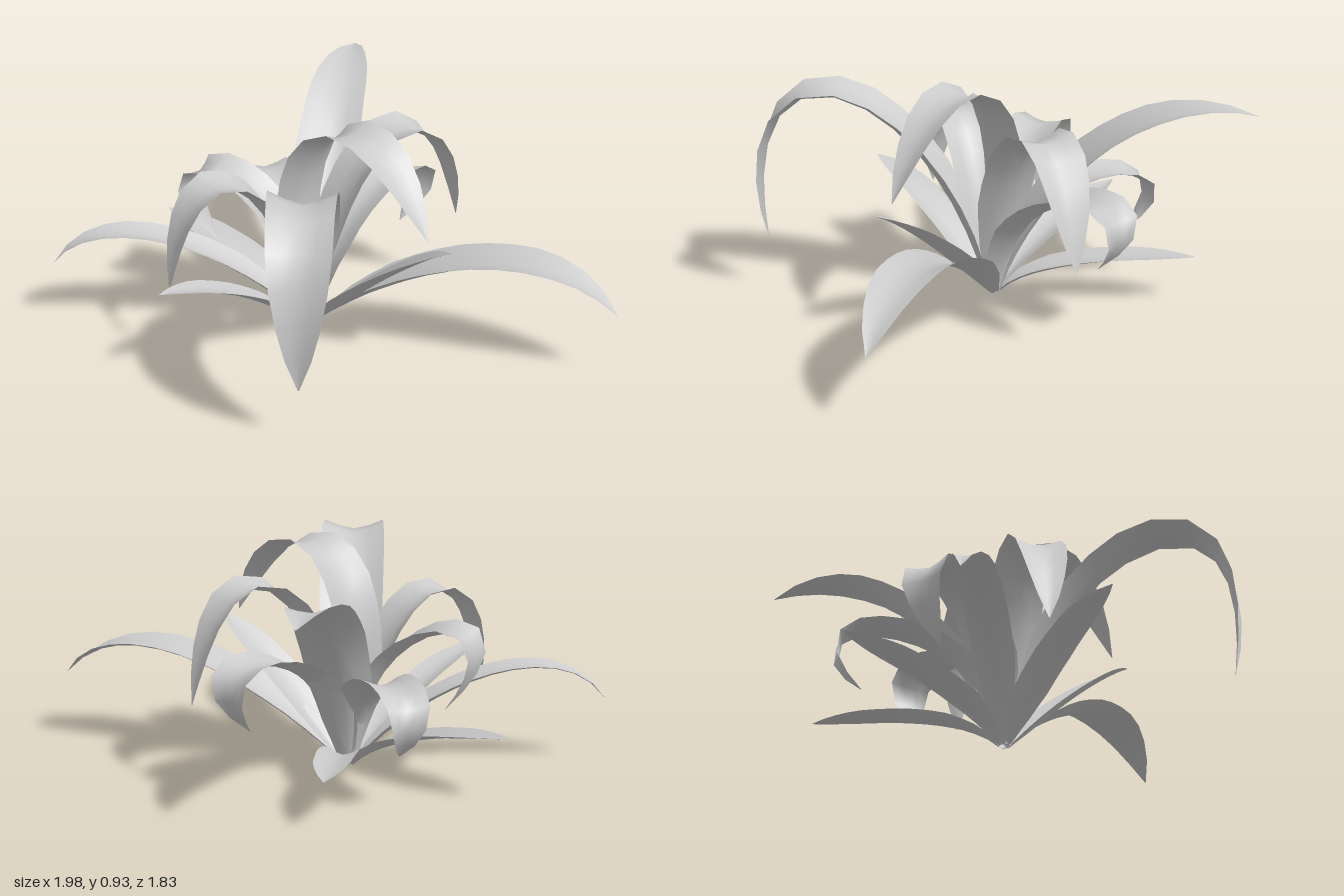
import * as THREE from 'three';

// Blade outline: relative width along the length
const OUTLINE = [[0, 0.22], [0.14, 0.66], [0.29, 0.96], [0.5, 1], [0.75, 0.88], [0.9, 0.5], [1, 0.02]];

function widthAt(t) {
  const i = Math.max(1, OUTLINE.findIndex(([end]) => t <= end));
  const [t0, w0] = OUTLINE[i - 1], [t1, w1] = OUTLINE[i];
  return w0 + (w1 - w0) * (t - t0) / (t1 - t0);
}

// A leaf is a gutter-shaped section swept along an arching midrib.
// The midrib is a Bezier arc in the vertical plane at the given angle from the front;
// twist turns the blade's width away from square to that plane.
function leafGeometry(angle, width, r1, y1, r2, y2, tipR, tipY, twist = 0) {
  const along = 14, across = 4, fold = 0.16;
  const a = THREE.MathUtils.degToRad(angle);
  const b = THREE.MathUtils.degToRad(angle + twist);
  const at = (r, y) => new THREE.Vector3(r * Math.sin(a), y, r * Math.cos(a));
  const curve = new THREE.CubicBezierCurve3(at(0.02, 0.01), at(r1, y1), at(r2, y2), at(tipR, tipY));
  const side = new THREE.Vector3(Math.cos(b), 0, -Math.sin(b));
  const positions = [], index = [];
  for (let i = 0; i <= along; i++) {
    const t = i / along;
    const centre = curve.getPointAt(t);
    const upper = new THREE.Vector3().crossVectors(curve.getTangentAt(t), side).normalize();
    const w = width * widthAt(t);
    const depth = w * fold * (1.6 - t);
    for (let j = 0; j <= across; j++) {
      const s = 2 * j / across - 1;
      const p = centre.clone().addScaledVector(side, s * w / 2)
        .addScaledVector(upper, (Math.abs(s) ** 1.5 - 0.4) * depth);
      positions.push(p.x, Math.max(p.y, 0), p.z);
    }
  }
  for (let i = 0; i < along; i++) {
    for (let j = 0; j < across; j++) {
      const k = i * (across + 1) + j, next = k + across + 1;
      index.push(k, k + 1, next, next, k + 1, next + 1);
    }
  }
  const geometry = new THREE.BufferGeometry();
  geometry.setAttribute('position', new THREE.Float32BufferAttribute(positions, 3));
  geometry.setIndex(index);
  geometry.computeVertexNormals();
  return geometry;
}

// Name, angle, width, then radius and height of both arc handles and the tip, and any twist
const LEAVES = [
  ['longLeafFrontLeft', 50.7, 0.25, 0.37, 0.36, 1.0, 0.62, 1.28, 0.28],
  ['tallLeafFront', -21, 0.27, 0.22, 0.97, 1.08, 1.23, 0.92, 0.23],
  ['straightLeafFront', 32, 0.2, 0.2, 0.2, 0.5, 0.46, 0.7, 0.55],
  ['innerLeafFront', 31, 0.245, -0.2, 0.9, 0.27, 1.22, 0.6, 0.57, -8],
  ['archLeafLeft', 98, 0.24, 0.12, 0.84, 0.56, 1.12, 0.69, 0.35],
  ['archLeafRight', -83.5, 0.23, 0.12, 0.74, 0.53, 1.0, 0.61, 0.29],
  ['longLeafRight', -108, 0.17, 0.27, 0.35, 0.85, 0.58, 1.04, 0.28],
  ['straightLeafRight', -67.5, 0.16, 0.22, 0.2, 0.5, 0.37, 0.76, 0.4],
  ['longLeafBack', 150.3, 0.27, 0.16, 0.53, 0.62, 0.95, 1.05, 0.83, 20],
  ['curledLeafBack', 180, 0.215, 0.05, 0.61, 0.98, 0.57, 0.57, 0.21],
  ['curledLeafBackLeft', 117.5, 0.24, 0.08, 0.66, 0.98, 0.66, 0.56, 0.27],
  ['curledLeafBackRight', -135, 0.235, 0.02, 0.72, 0.84, 0.8, 0.42, 0.29],
  ['lowLeafBackRight', -149.3, 0.17, 0.16, 0.17, 0.5, 0.24, 0.8, 0.27],
  ['lowLeafBackLeft', 154, 0.16, 0.16, 0.17, 0.55, 0.2, 0.82, 0.2],
];

export function createModel() {
  const plant = new THREE.Group();
  plant.name = 'rosettePlant';
  const material = new THREE.MeshStandardMaterial({ color: 0xcccccc, side: THREE.DoubleSide });
  for (const [name, ...shape] of LEAVES) {
    const leaf = new THREE.Mesh(leafGeometry(...shape), material);
    leaf.name = name;
    plant.add(leaf);
  }
  return plant;
}
